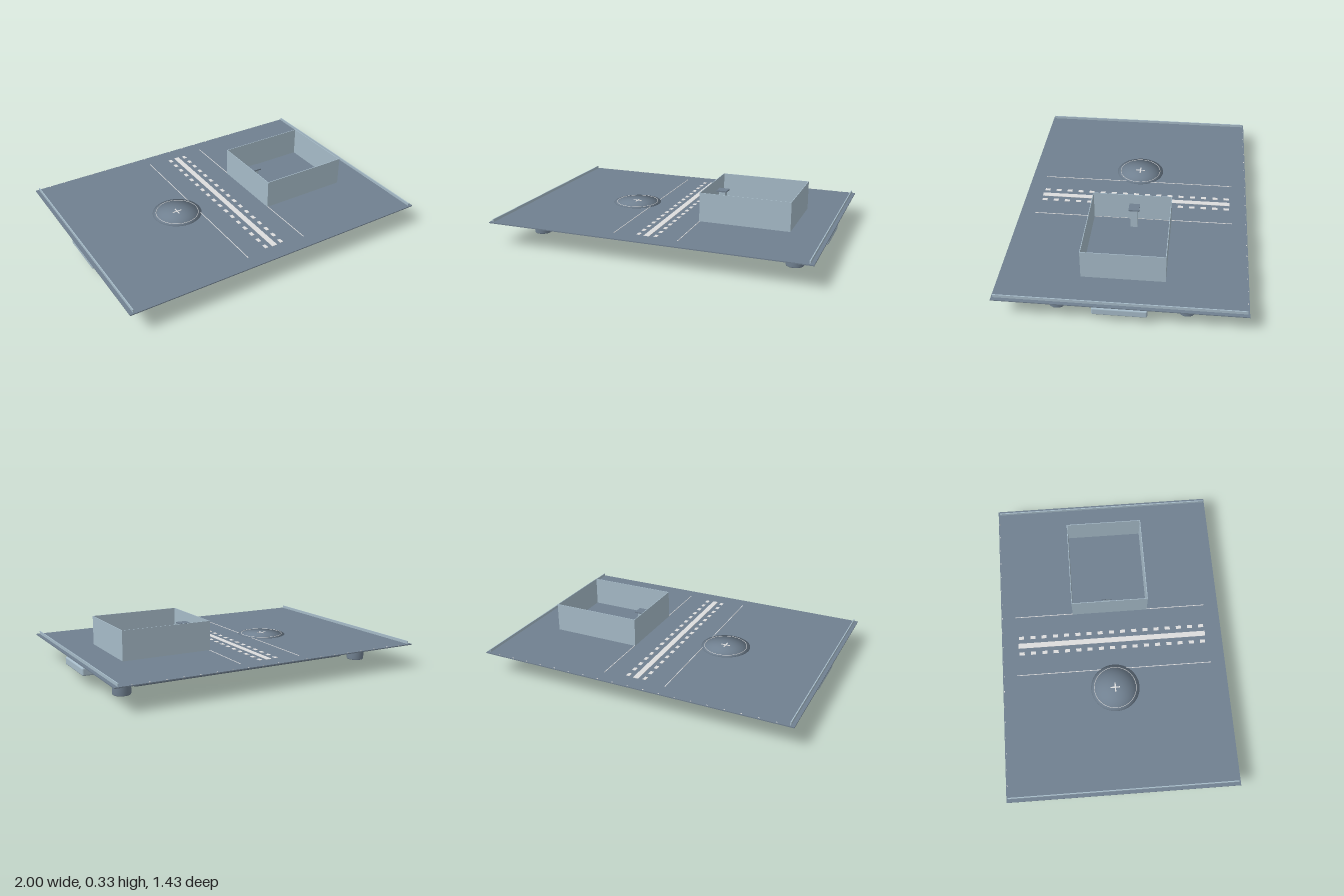
import * as THREE from 'three';
import { RoundedBoxGeometry } from 'three/addons/geometries/RoundedBoxGeometry.js';

export function createModel() {
  const model = new THREE.Group();
  const slate = new THREE.MeshStandardMaterial({ name: 'slate', color: 0x708090 });
  const paleBlue = new THREE.MeshStandardMaterial({ name: 'paleBlue', color: 0xa6bbc8 });
  const white = new THREE.MeshStandardMaterial({ name: 'white', color: 0xdcdcdc });

  const add = (name, geometry, material, x, y, z, parent = model) => {
    const mesh = new THREE.Mesh(geometry, material);
    mesh.name = name;
    mesh.position.set(x, y, z);
    parent.add(mesh);
    return mesh;
  };
  const box = (name, w, h, d, material, x, y, z, parent) =>
    add(name, new THREE.BoxGeometry(w, h, d), material, x, y, z, parent);
  const group = (name) => {
    const g = new THREE.Group();
    g.name = name;
    model.add(g);
    return g;
  };

  const deckTop = 0.149;

  // Hull and wide flat deck
  add('hull', new RoundedBoxGeometry(1.5, 0.124, 0.715, 4, 0.027), slate, 0, 0.078, 0);
  box('deck', 2, 0.006, 1.432, slate, 0, deckTop - 0.003, 0);

  // Side rails and end pontoons
  for (const s of [-1, 1]) {
    box('sideRail', 0.006, 0.018, 1.412, paleBlue, s * 0.976, deckTop + 0.009, 0);
    add('pontoon', new RoundedBoxGeometry(0.4, 0.05, 0.314, 3, 0.01), paleBlue, s * 0.78, 0.091, 0);
  }

  // Four round feet with softened top edges
  const footProfile = [[0, 0], [0.052, 0], [0.054, 0.004], [0.054, 0.058], [0.05, 0.067], [0.042, 0.071], [0, 0.072]]
    .map(([r, y]) => new THREE.Vector2(r, y));
  const footGeometry = new THREE.LatheGeometry(footProfile, 28);
  for (const sx of [-1, 1]) for (const sz of [-1, 1])
    add('foot', footGeometry, slate, sx * 0.828, 0, sz * 0.375);

  // Runway markings: centre stripe, dashes and thin outer lines
  const runway = group('runwayMarkings');
  const paintY = deckTop + 0.001;
  box('centreStripe', 0.034, 0.002, 1.22, white, 0, paintY, 0, runway);
  for (const s of [-1, 1]) {
    for (let i = -8; i <= 8; i++)
      box('runwayDash', 0.021, 0.002, 0.033, white, s * 0.054, paintY, i * 0.0735, runway);
    box('outerLine', 0.004, 0.002, 1.25, white, s * 0.2, paintY, 0, runway);
  }

  // Small lights along the rear edge
  const lights = group('rearLights');
  for (let i = -9; i <= 9; i++)
    box('rearLight', 0.008, 0.003, 0.004, white, i * 0.1, paintY, -0.709, lights);

  // Very shallow landing dome that keeps round, full-dome shading
  const pad = group('landingPad');
  pad.position.set(-0.325, deckTop, -0.003);
  const domeGeometry = new THREE.SphereGeometry(0.155, 48, 14, 0, Math.PI * 2, 0, Math.PI / 2);
  const p = domeGeometry.attributes.position;
  for (let i = 0; i < p.count; i++) p.setY(i, p.getY(i) * 0.05);
  add('padDome', domeGeometry, slate, 0, 0, 0, pad);
  add('padRing', new THREE.TorusGeometry(0.134, 0.0016, 6, 64).rotateX(Math.PI / 2), white, 0, 0.0042, 0, pad);
  box('padCrossBar', 0.06, 0.002, 0.008, white, 0, 0.0085, 0, pad);
  box('padCrossBar', 0.008, 0.002, 0.06, white, 0, 0.0085, 0, pad);

  // Open-topped enclosure with thin walls
  const house = group('enclosure');
  const wallH = 0.182, wallY = deckTop + wallH / 2;
  for (const s of [-1, 1]) {
    box('longWall', 0.569, wallH, 0.004, paleBlue, 0.481, wallY, s * 0.243, house);
    box('shortWall', 0.004, wallH, 0.482, paleBlue, 0.481 + s * 0.2825, wallY, 0, house);
  }

  // Small post and cap inside the enclosure
  box('post', 0.042, 0.13, 0.042, paleBlue, 0.264, deckTop + 0.065, -0.017, house);
  box('postCap', 0.066, 0.009, 0.066, slate, 0.264, 0.283, -0.017, house);

  return model;
}
